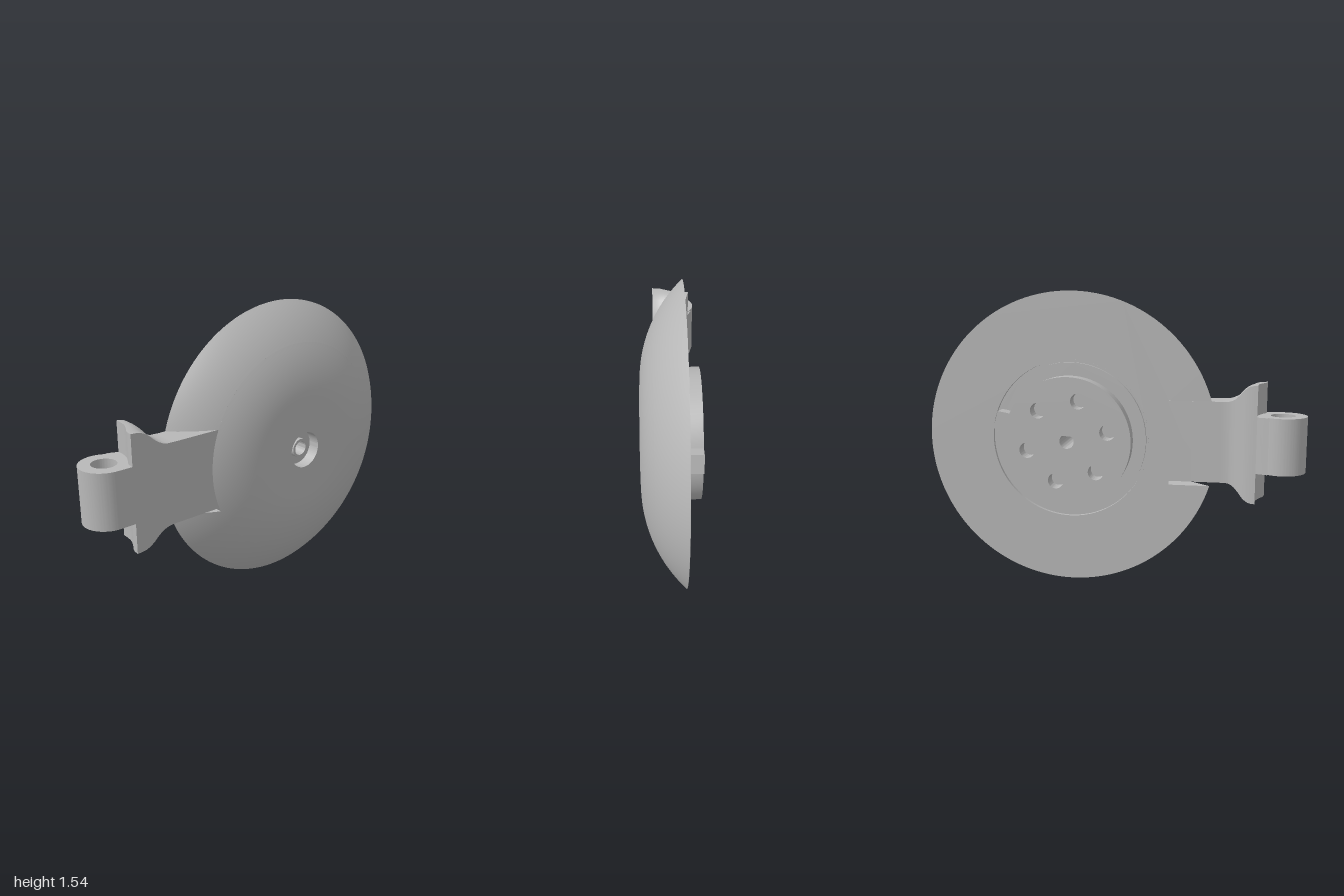
import * as THREE from 'three';
import { toCreasedNormals } from 'three/addons/utils/BufferGeometryUtils.js';

const R = 0.772, BACK = -0.063, SLOT = 0.57, SLOT_TOP = 0.211, SLOT_LOW = 0.228;

export function createModel() {
  const grey = new THREE.MeshStandardMaterial({ color: 0xb8b8b8 });
  grey.name = 'plain grey';
  grey.side = THREE.DoubleSide;

  const root = new THREE.Group();
  root.name = 'domedCoverWithHinge';
  const cover = new THREE.Group();
  cover.name = 'cover';
  cover.position.set(0, 0.773, -0.228);
  const hinge = new THREE.Group();
  hinge.name = 'hinge';
  hinge.position.y = 0.777;
  root.add(cover, hinge);

  const add = (parent, name, geo, crease = 0.6) => {
    const mesh = new THREE.Mesh(toCreasedNormals(geo, crease), grey);
    mesh.name = name;
    parent.add(mesh);
  };
  const circle = (x, y, r) => new THREE.Path().absarc(x, y, r, 0, Math.PI * 2);
  // profile points are [radius, x], turned about the x axis
  const lathe = (pts) => new THREE.LatheGeometry(pts.map(p => new THREE.Vector2(...p)), 128);
  // shape drawn in (z, y), facing and extruded towards -x from x0
  const facingBack = (geo, x0) => geo.rotateY(-Math.PI / 2).translate(x0, 0, 0);
  // shape drawn in (z, x), extruded up from y0
  const upright = new THREE.Matrix4().makeBasis(
    new THREE.Vector3(0, 0, 1), new THREE.Vector3(1, 0, 0), new THREE.Vector3(0, 1, 0));
  const standing = (geo, y0) => geo.applyMatrix4(upright).translate(0, y0, 0);

  // dome: an arc that runs into a flat middle
  const domeX = r => 0.155 - (r > 0.27 ? 0.69 - Math.sqrt(0.69 ** 2 - (r - 0.27) ** 2) : 0);
  const arc = (from, to, n) => Array.from({ length: n + 1 }, (_, i) => {
    const r = from + (to - from) * i / n;
    return [r, domeX(r)];
  });

  // outer dome, opened where the arm passes through
  const outer = lathe([[R, BACK], ...arc(R, SLOT, 14)]);
  const p = outer.attributes.position;
  for (let i = 0; i < p.count; i++) {
    const r = Math.hypot(p.getX(i), p.getZ(i));
    const u = outer.attributes.uv.getX(i);
    const a = Math.asin(SLOT_LOW / r), b = 2 * Math.PI - Math.asin(SLOT_TOP / r);
    const t = a + (b - a) * u;
    p.setXYZ(i, r * Math.sin(t), p.getY(i), r * Math.cos(t));
  }
  add(cover, 'outerDome', outer.rotateZ(-Math.PI / 2));

  // inner dome with the counterbore, inner collar and through bore
  add(cover, 'innerDome', lathe([...arc(SLOT, 0.27, 16), [0.098, 0.155], [0.098, 0.09],
    [0.052, 0.09], [0.052, 0.12], [0.038, 0.12], [0.038, -0.145]]).rotateZ(-Math.PI / 2));

  // flat back, notched for the arm
  const edge = h => Math.sqrt(R * R - h * h);
  const back = new THREE.Shape();
  back.absarc(0, 0, R, Math.asin(SLOT_TOP / R), 2 * Math.PI - Math.asin(SLOT_LOW / R));
  back.lineTo(0.525, -SLOT_LOW);
  back.lineTo(0.525, SLOT_TOP);
  back.holes.push(circle(0, 0, 0.42));
  add(cover, 'backPlate', facingBack(new THREE.ShapeGeometry(back, 96), BACK));

  // wall beside the narrow gap under the arm
  const wall = new THREE.Shape();
  wall.moveTo(0.522, BACK);
  wall.lineTo(edge(SLOT_LOW), BACK);
  for (const [r, x] of arc(R, SLOT, 8)) wall.lineTo(Math.sqrt(r * r - SLOT_LOW ** 2), x);
  add(cover, 'gapWall', standing(new THREE.ShapeGeometry(wall), -SLOT_LOW));

  // fine groove around the hub, and the plate inside it
  add(cover, 'grooveRing', lathe([[0.405, BACK], [0.405, -0.045], [0.42, -0.045], [0.42, BACK]])
    .rotateZ(-Math.PI / 2));
  const seat = new THREE.Shape().absarc(0, 0, 0.405, 0, Math.PI * 2);
  seat.holes.push(circle(0, 0, 0.038));
  add(cover, 'hubSeat', facingBack(new THREE.ShapeGeometry(seat, 64), BACK));

  // hub with a locating tab, a centre bore and six holes
  const hub = new THREE.Shape();
  const tab = 2.87, half = 0.16;
  hub.absarc(0, 0, 0.336, tab + half, tab - half + Math.PI * 2);
  for (const s of [-1, 1]) {
    const a = tab + s * 0.12;
    hub.lineTo(0.398 * Math.cos(a), 0.398 * Math.sin(a));
  }
  hub.closePath();
  hub.holes.push(circle(0, 0, 0.038));
  for (let i = 0; i < 6; i++) {
    const a = 0.24 + i * Math.PI / 3;
    hub.holes.push(circle(0.22 * Math.cos(a), 0.22 * Math.sin(a), 0.041));
  }
  add(cover, 'hub', facingBack(new THREE.ExtrudeGeometry(hub,
    { depth: 0.082, bevelEnabled: false, curveSegments: 48 }), BACK));

  // arm: box sections [z, back x, half height] flaring into wings with a curved end
  const sections = [[0.2, -0.0645, 0.211], [0.56, -0.0645, 0.211], [0.6, -0.067, 0.212],
    [0.625, -0.073, 0.218], [0.65, -0.082, 0.23], [0.675, -0.092, 0.249], [0.7, -0.103, 0.272],
    [0.72, -0.111, 0.286], [0.745, -0.117, 0.297], [0.77, -0.122, 0.301], [0.797, -0.126, 0.302]];
  const endCurve = new THREE.SplineCurve([[-0.126, 0.742], [-0.07, 0.743], [-0.02, 0.75],
    [0.03, 0.768], [0.06, 0.79], [0.085, 0.795]].map(q => new THREE.Vector2(...q)));
  const cols = 12, ring = 2 * (cols + 1), pos = [], idx = [];
  for (const [z, xl, h] of sections) {
    for (let j = 0; j < ring; j++) {
      const top = j <= cols;
      const t = (top ? j : ring - 1 - j) / cols;
      const k = Math.max(0, (z - 0.6) / 0.197);
      const zz = k > 0 ? 0.6 + k * (endCurve.getPoint(t).y - 0.6) : z;
      pos.push(xl + (0.085 - xl) * t, top ? h : -h, zz);
    }
  }
  for (let i = 0; i < sections.length - 1; i++) {
    for (let j = 0; j < ring; j++) {
      const a = i * ring + j, b = i * ring + (j + 1) % ring;
      idx.push(a, a + ring, b, b, a + ring, b + ring);
    }
  }
  const last = (sections.length - 1) * ring;
  for (let j = 0; j < cols; j++) {
    const a = last + j, b = a + 1, d = last + ring - 1 - j, c = d - 1;
    idx.push(a, d, b, b, d, c);
  }
  const arm = new THREE.BufferGeometry();
  arm.setAttribute('position', new THREE.Float32BufferAttribute(pos, 3));
  arm.setIndex(idx);
  add(hinge, 'wingedArm', arm);

  // knuckle with its pin hole
  const knuckle = new THREE.Shape();
  knuckle.moveTo(0.69, 0.085);
  knuckle.lineTo(0.69, -0.098);
  knuckle.lineTo(0.745, -0.125);
  knuckle.lineTo(0.8, -0.146);
  knuckle.absarc(0.873, -0.037, 0.122, -Math.PI + 0.75, Math.PI / 2);
  knuckle.closePath();
  knuckle.holes.push(circle(0.873, -0.037, 0.062));
  add(hinge, 'knuckle', standing(new THREE.ExtrudeGeometry(knuckle,
    { depth: 0.288, bevelEnabled: false, curveSegments: 40 }), -0.144));

  return root;
}
